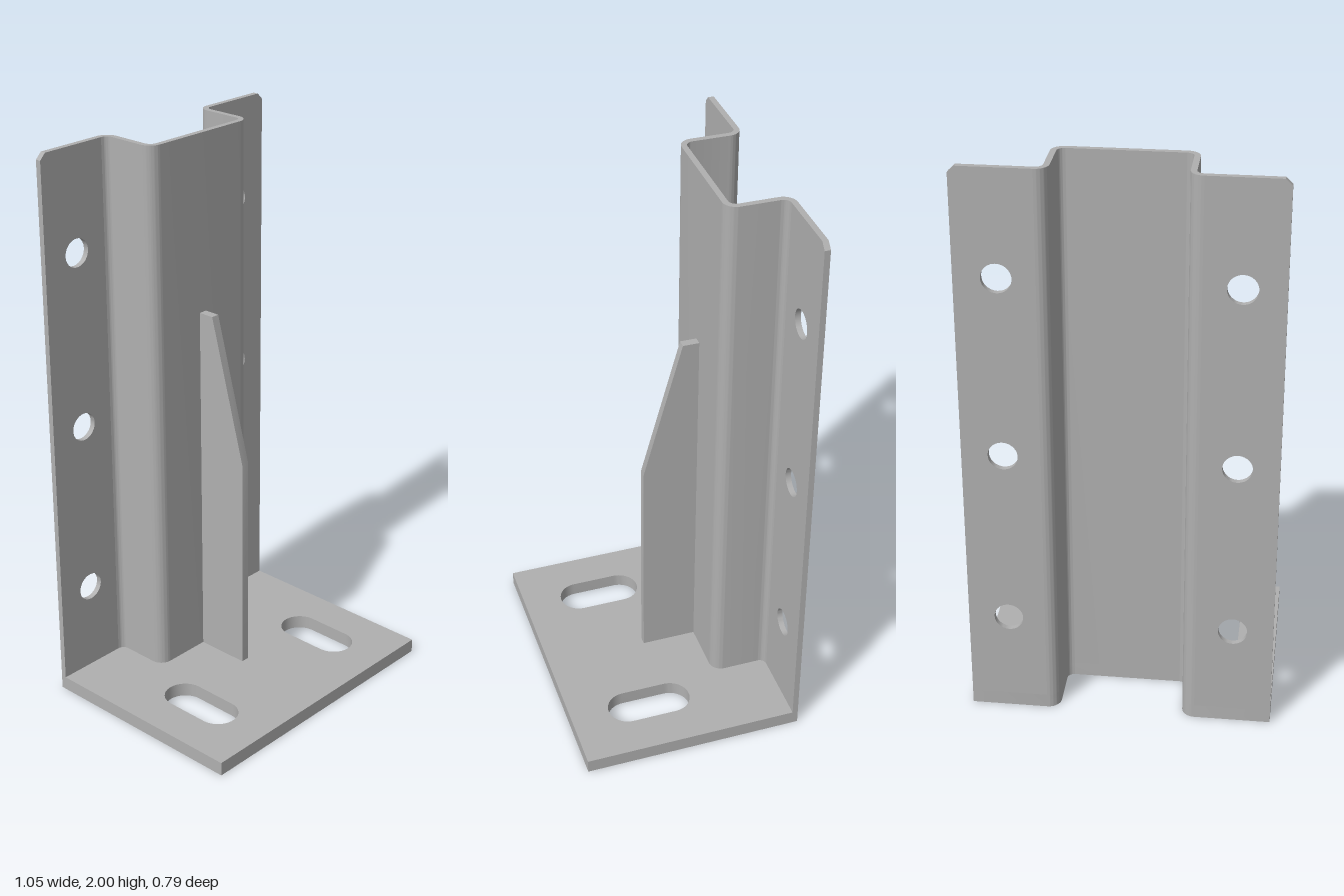
import * as THREE from 'three';
import { toCreasedNormals } from 'three/addons/utils/BufferGeometryUtils.js';

const PI = Math.PI;
const PLATE = 0.05, TOP = 2, HALF_W = 0.525, HALF_D = 0.395;
const SHEET = 0.02, BEND_X = 0.26;

function extrude(shape, depth, curveSegments = 12) {
  const geo = new THREE.ExtrudeGeometry(shape, { depth, bevelEnabled: false, curveSegments });
  return toCreasedNormals(geo, 0.6);
}

// Rear outline of the channel from +x to -x (plan shapes use y = -z)
function rearEdge(shape) {
  shape.lineTo(BEND_X, 0.395);
  shape.absarc(0.26, 0.35, 0.045, PI / 2, PI, false);
  shape.absarc(0.19, 0.218, 0.025, 0, -PI / 2, true);
  shape.absarc(-0.19, 0.218, 0.025, -PI / 2, -PI, true);
  shape.absarc(-0.26, 0.35, 0.045, 0, PI / 2, false);
}

export function createModel() {
  const group = new THREE.Group();
  const steel = new THREE.MeshStandardMaterial({ color: 0xb0b0b0 });
  steel.name = 'steel grey';

  const add = (name, geo) => {
    const mesh = new THREE.Mesh(geo, steel);
    mesh.name = name;
    group.add(mesh);
    return mesh;
  };

  // Base plate, notched behind the channel, with two slots
  const plate = new THREE.Shape();
  plate.moveTo(-HALF_W, HALF_D);
  plate.lineTo(-HALF_W, -HALF_D);
  plate.lineTo(HALF_W, -HALF_D);
  plate.lineTo(HALF_W, HALF_D);
  rearEdge(plate);
  plate.closePath();
  for (const side of [-1, 1]) {
    const slot = new THREE.Path();
    slot.absarc(side * 0.315, -0.022, 0.072, 0, PI, false);
    slot.absarc(side * 0.315, -0.183, 0.072, PI, 2 * PI, false);
    slot.closePath();
    plate.holes.push(slot);
  }
  add('basePlate', extrude(plate, PLATE).rotateX(-PI / 2));

  // Bent middle of the upright
  const channel = new THREE.Shape();
  channel.moveTo(-BEND_X, 0.375);
  channel.absarc(-0.26, 0.35, 0.025, PI / 2, 0, true);
  channel.absarc(-0.19, 0.218, 0.045, PI, 1.5 * PI, false);
  channel.absarc(0.19, 0.218, 0.045, 1.5 * PI, 2 * PI, false);
  channel.absarc(0.26, 0.35, 0.025, PI, PI / 2, true);
  rearEdge(channel);
  channel.closePath();
  add('uprightChannel', extrude(channel, TOP - PLATE).rotateX(-PI / 2).translate(0, PLATE, 0));

  // Flat flanges with clipped top corners and three bolt holes each
  for (const side of [-1, 1]) {
    const flange = new THREE.Shape([
      [BEND_X, PLATE], [HALF_W, PLATE], [HALF_W, TOP - 0.022], [HALF_W - 0.022, TOP], [BEND_X, TOP],
    ].map(([x, y]) => new THREE.Vector2(side * x, y)));
    for (const y of [0.37, 1.003, 1.635]) {
      const hole = new THREE.Path();
      hole.absarc(side * 0.386, y, 0.05, 0, 2 * PI, false);
      flange.holes.push(hole);
    }
    add(side > 0 ? 'leftFlange' : 'rightFlange', extrude(flange, SHEET, 20).translate(0, 0, -HALF_D));
  }

  // Stiffening rib, drawn in (-z, y) and turned to stand on the centre line
  const rib = new THREE.Shape([
    [-0.025, PLATE], [0.173, PLATE], [0.173, 1.37], [0.115, 1.37], [-0.025, 0.85],
  ].map(([x, y]) => new THREE.Vector2(x, y)));
  add('stiffeningRib', extrude(rib, 0.03).translate(0, 0, -0.015).rotateY(PI / 2));

  return group;
}
